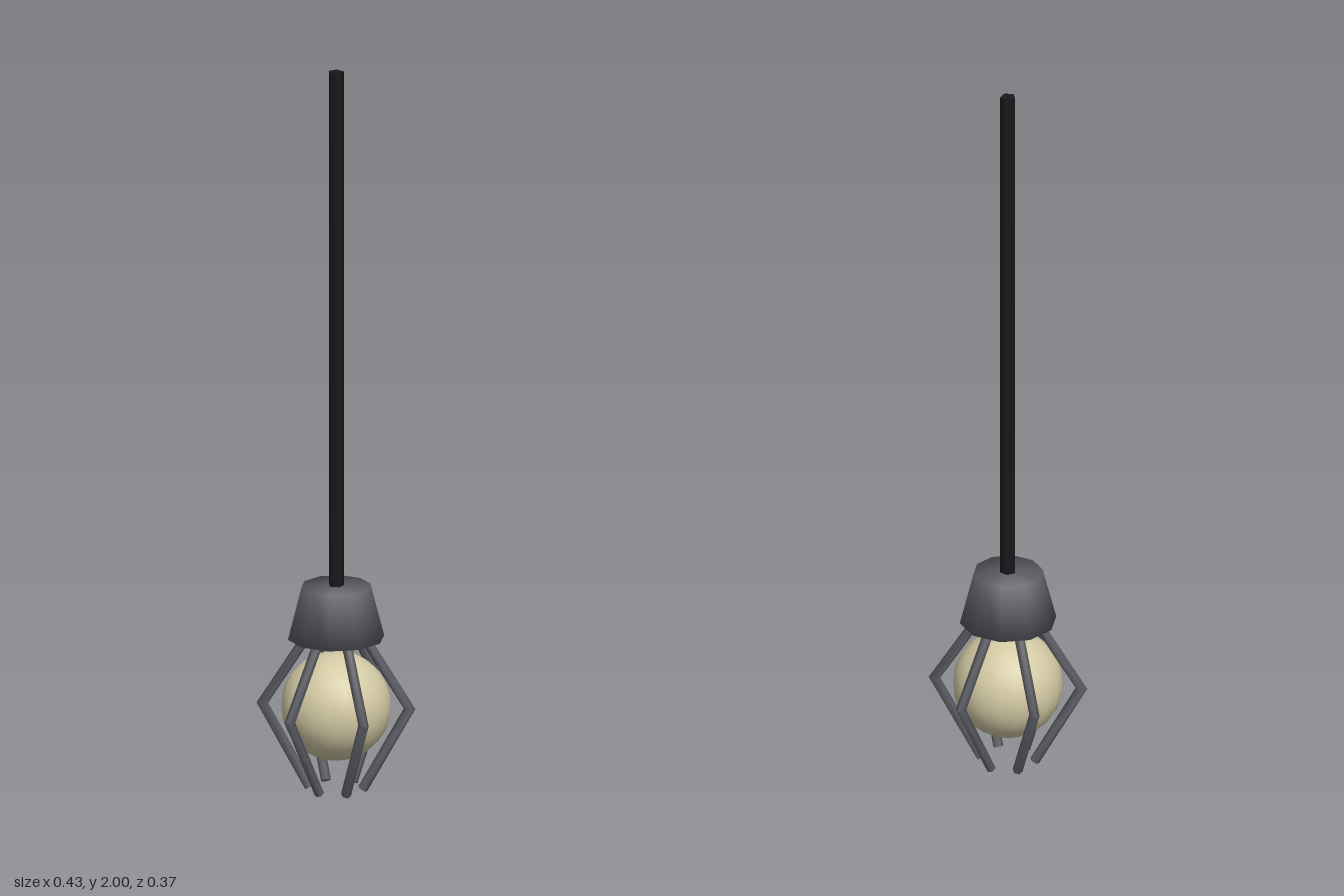
import * as THREE from 'three';
import { toCreasedNormals } from 'three/addons/utils/BufferGeometryUtils.js';

const cableBlack = new THREE.MeshStandardMaterial({ color: 0x19191b });
const darkMetal = new THREE.MeshStandardMaterial({ color: 0x5c5e65 });
const paleGlobe = new THREE.MeshStandardMaterial({ color: 0xd3caa4 });

function part(name, geometry, material) {
  const mesh = new THREE.Mesh(geometry, material);
  mesh.name = name;
  return mesh;
}

// One bent claw in the xy plane: rings from cap to knee to foot, mitred at the knee
function clawGeometry() {
  const r = 0.0135;
  const rings = [
    { x: 0.056, y: 0.46, ux: 0.835, uy: 0.55 },
    { x: 0.198, y: 0.235, ux: 1.17, uy: 0 },
    { x: 0.072, y: 0.0068, ux: 0.866, uy: -0.5 },
  ];
  const geo = new THREE.CylinderGeometry(1, 1, 2, 6, 2);
  const pos = geo.attributes.position;
  for (let i = 0; i < pos.count; i++) {
    const ring = rings[Math.round(1 - pos.getY(i))];
    // swap axes so a corner of the hexagon points outwards
    const out = pos.getZ(i) * r, side = -pos.getX(i) * r;
    pos.setXYZ(i, ring.x + out * ring.ux, ring.y + out * ring.uy, side);
  }
  return toCreasedNormals(geo, 1.1);
}

export function createModel() {
  const group = new THREE.Group();

  // Long five-sided hanging cable, one corner to the back
  const cable = part('cable', new THREE.CylinderGeometry(0.021, 0.021, 1.46, 5), cableBlack);
  cable.position.y = 1.27;
  cable.rotation.y = Math.PI;
  group.add(cable);

  // Ten-sided cap, softly shaded over its edges
  const profile = [[0, 0.425], [0.13, 0.425], [0.093, 0.57], [0, 0.57]];
  const points = profile.map(([x, y]) => new THREE.Vector2(x, y));
  group.add(part('cap', new THREE.LatheGeometry(points, 10), darkMetal));

  // Round globe held by the claws
  const globe = part('globe', new THREE.SphereGeometry(0.147, 20, 14), paleGlobe);
  globe.position.y = 0.235;
  group.add(globe);

  // Six claws around the globe
  const claw = clawGeometry();
  for (let i = 0; i < 6; i++) {
    const mesh = part('claw' + (i + 1), claw, darkMetal);
    mesh.rotation.y = (i * Math.PI) / 3;
    group.add(mesh);
  }
  return group;
}
